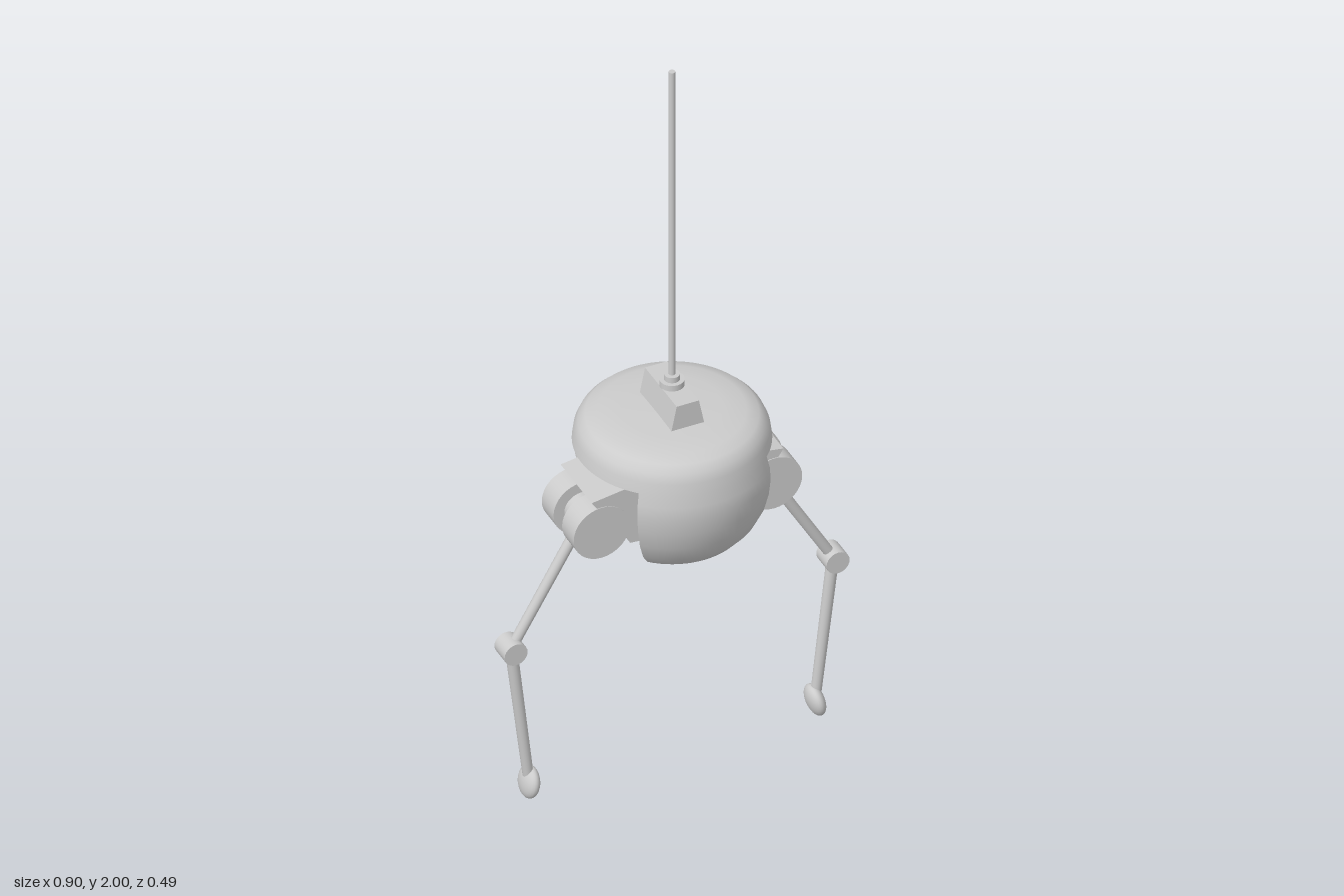
import * as THREE from 'three';

const grey = new THREE.MeshStandardMaterial({ color: 0xcccccc, side: THREE.DoubleSide });
const v2 = (list) => list.map(([x, y]) => new THREE.Vector2(x, y));

function add(parent, name, geometry, x = 0, y = 0, z = 0) {
  const mesh = new THREE.Mesh(geometry, grey);
  mesh.name = name;
  mesh.position.set(x, y, z);
  parent.add(mesh);
  return mesh;
}

// Round bar between two points in the z = 0 plane
function bar(parent, name, a, b, ra, rb) {
  const dx = b[0] - a[0], dy = b[1] - a[1];
  const mesh = add(parent, name, new THREE.CylinderGeometry(rb, ra, Math.hypot(dx, dy), 16),
    (a[0] + b[0]) / 2, (a[1] + b[1]) / 2);
  mesh.rotation.z = Math.atan2(dy, dx) - Math.PI / 2;
}

// Cylinder lying along z
const drum = (r, depth, seg = 32) => new THREE.CylinderGeometry(r, r, depth, seg).rotateX(Math.PI / 2);

// Outline extruded along z, centred on z = 0
const slab = (outline, depth) => new THREE.ExtrudeGeometry(new THREE.Shape(v2(outline)),
  { depth, bevelEnabled: false }).translate(0, 0, -depth / 2);

const LIP = 0.93; // height of the top edge of the side openings

// Lathe surface with the quads inside the two side openings left out
function openLathe(points) {
  const geo = new THREE.LatheGeometry(points, 72);
  const pos = geo.attributes.position, src = geo.index.array, kept = [];
  for (let i = 0; i < src.length; i += 6) {
    let x = 0, y = 0, z = 0;
    for (let k = 0; k < 6; k++) {
      x += pos.getX(src[i + k]) / 6;
      y += pos.getY(src[i + k]) / 6;
      z += pos.getZ(src[i + k]) / 6;
    }
    if (!(y < LIP && Math.abs(x) > Math.abs(z))) kept.push(...src.slice(i, i + 6));
  }
  geo.setIndex(kept);
  return geo;
}

function createShell() {
  const shell = new THREE.Group();
  shell.name = 'bodyShell';
  const outer = [[0.1, 0.66], [0.14, 0.665], [0.175, 0.687], [0.205, 0.722], [0.228, 0.77], [0.241, 0.82],
    [0.246, 0.865], [0.244, 0.9], [0.236, LIP], [0.232, 0.96], [0.222, 0.983], [0.205, 1.0],
    [0.175, 1.01], [0.12, 1.017], [0, 1.02]];
  const inner = [[0.085, 0.69], [0.13, 0.7], [0.165, 0.73], [0.188, 0.78], [0.202, 0.83],
    [0.206, 0.88], [0.198, LIP], [0.16, 0.96], [0, 0.97]];
  add(shell, 'shellOutside', openLathe(v2(outer)));
  add(shell, 'shellInside', openLathe(v2(inner).reverse()));

  // Thickness of the wall along the opening edges
  const wall = [...outer.filter((p) => p[1] <= LIP), ...inner.filter((p) => p[1] <= LIP).reverse()];
  for (let i = 0; i < 4; i++) {
    const edge = new THREE.ShapeGeometry(new THREE.Shape(v2(wall)));
    add(shell, 'openingEdge', edge.rotateY(Math.PI / 4 + i * Math.PI / 2));
  }
  for (const side of [0, Math.PI]) {
    const lip = new THREE.RingGeometry(0.198, 0.236, 18, 1, -Math.PI / 4 + side, Math.PI / 2);
    add(shell, 'openingLip', lip.rotateX(Math.PI / 2), 0, LIP);

    // Rim closing the bottom of the front and back panels
    const rim = new THREE.LatheGeometry(v2([[0.085, 0.69], [0.1, 0.66]]), 18, -Math.PI / 4 + side, Math.PI / 2);
    add(shell, 'panelRim', rim);
  }
  return shell;
}

function createLeg() {
  const leg = new THREE.Group();
  leg.name = 'leg';
  const hip = [0.225, 0.78], knee = [0.42, 0.445], ankle = [0.374, 0.05];

  // Hip bracket and slotted hip drum
  add(leg, 'hipBracket', slab([[0.08, 0.72], [0.15, 0.725], [0.18, 0.78], [0.235, 0.85],
    [0.25, 0.873], [0.17, 0.885], [0.08, 0.89]], 0.17));
  for (const s of [-1, 1]) add(leg, 'hipDrum', drum(0.073, 0.064), hip[0], hip[1], s * 0.055);
  add(leg, 'hipAxle', drum(0.045, 0.06), hip[0], hip[1]);

  // Limbs and knee
  bar(leg, 'upperLeg', hip, knee, 0.014, 0.013);
  add(leg, 'kneeJoint', drum(0.03, 0.056, 24), knee[0], knee[1]);
  bar(leg, 'lowerLeg', knee, ankle, 0.015, 0.013);

  // Flattened oval foot
  const foot = add(leg, 'foot', new THREE.SphereGeometry(1, 24, 16), 0.373, 0.042);
  foot.scale.set(0.021, 0.041, 0.041);
  foot.rotation.z = 0.2;
  return leg;
}

function createAntenna() {
  const antenna = new THREE.Group();
  antenna.name = 'antenna';
  add(antenna, 'antennaBase', slab([[-0.046, 1.0], [0.046, 1.0], [0.04, 1.03], [0.029, 1.085],
    [-0.029, 1.085], [-0.04, 1.03]], 0.172));
  add(antenna, 'antennaCollar', new THREE.CylinderGeometry(0.03, 0.03, 0.018, 24), 0, 1.092);
  add(antenna, 'antennaSocket', new THREE.CylinderGeometry(0.019, 0.019, 0.02, 24), 0, 1.106);
  add(antenna, 'antennaRod', new THREE.CylinderGeometry(0.008, 0.008, 0.91, 16), 0, 1.545);
  return antenna;
}

export function createModel() {
  const model = new THREE.Group();
  model.name = 'walker';
  model.add(createShell(), createAntenna());
  add(model, 'innerCore', new THREE.CylinderGeometry(0.125, 0.09, 0.25, 32), 0, 0.835);

  // The right leg is the left one turned half way round
  for (const [name, turn] of [['leftLeg', 0], ['rightLeg', Math.PI]]) {
    const leg = createLeg();
    leg.name = name;
    leg.rotation.y = turn;
    model.add(leg);
  }
  return model;
}
